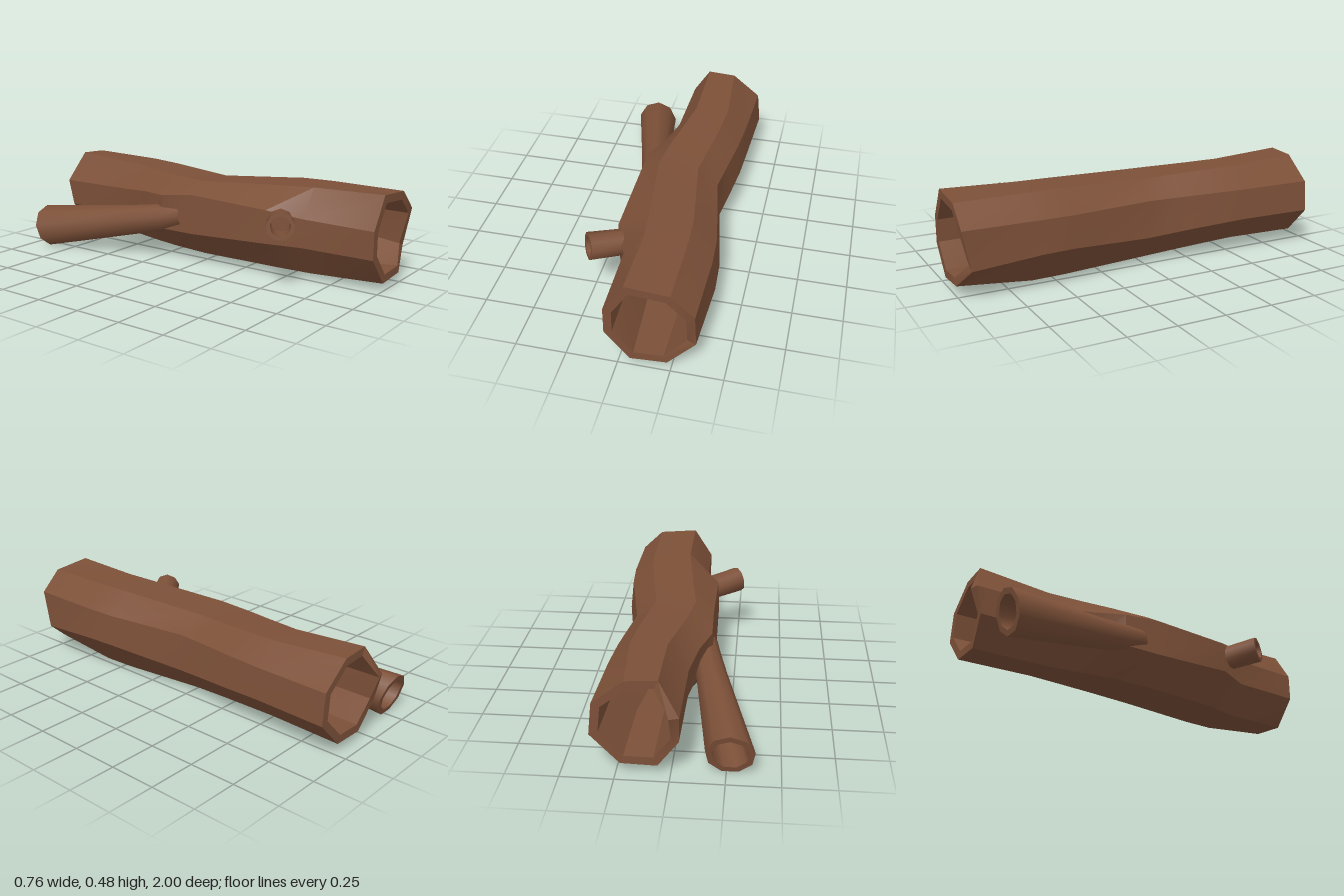
import * as THREE from 'three';
import { toCreasedNormals } from 'three/addons/utils/BufferGeometryUtils.js';

const V = (x, y, z) => new THREE.Vector3(x, y, z);

// Skin a list of closed rings that all have the same number of points
function loft(rings, crease) {
  const n = rings[0].length, index = [];
  for (let i = 0; i < rings.length - 1; i++) {
    for (let j = 0; j < n; j++) {
      const k = (j + 1) % n, a = i * n, b = a + n;
      index.push(a + j, a + k, b + j, a + k, b + k, b + j);
    }
  }
  const geo = new THREE.BufferGeometry().setFromPoints(rings.flat());
  geo.setIndex(index);
  return toCreasedNormals(geo, crease);
}

// Round ring of points around a centre, facing along normal
function circle(centre, normal, radius, sides = 9) {
  const d = normal.clone().normalize();
  const u = V(0, 1, 0).addScaledVector(d, -d.y).normalize();
  const v = d.clone().cross(u);
  return Array.from({ length: sides }, (_, i) => {
    const t = (i / sides) * Math.PI * 2;
    return centre.clone().addScaledVector(u, Math.cos(t) * radius).addScaledVector(v, Math.sin(t) * radius);
  });
}

// Hollow limb: outer skin, rim, then bore back down to a closed bottom
function limb(stations, normal, boreScale) {
  const outer = stations.map(([c, r]) => circle(c, normal, r));
  const bore = stations.map(([c, r]) => circle(c, normal, r * boreScale)).reverse();
  const floor = circle(stations[0][0], normal, 0.001);
  return loft([...outer, ...bore, floor], 0.75);
}

export function createModel() {
  const group = new THREE.Group();
  const bark = new THREE.MeshStandardMaterial({ color: 0x7c5038 });
  bark.name = 'brown bark';
  const add = (name, geo) => {
    const mesh = new THREE.Mesh(geo, bark);
    mesh.name = name;
    group.add(mesh);
  };

  // Trunk sections from front to back: z, then eight x, y corners
  // (top left, top right, then round the right side, bottom and left side)
  const sections = [
    [1, [0.04, 0.487, 0.25, 0.47, 0.36, 0.365, 0.36, 0.165, 0.235, 0.06, 0.06, 0.047, -0.06, 0.19, -0.06, 0.33]],
    [0.62, [0.04, 0.475, 0.25, 0.472, 0.365, 0.365, 0.383, 0.2, 0.235, 0.022, 0.03, 0.035, -0.07, 0.19, -0.065, 0.335]],
    [0.45, [0.02, 0.468, 0.24, 0.47, 0.355, 0.362, 0.372, 0.2, 0.225, 0.02, 0.0, 0.042, -0.14, 0.2, -0.135, 0.37]],
    [0, [-0.04, 0.445, 0.17, 0.44, 0.275, 0.35, 0.292, 0.16, 0.16, 0.012, -0.02, 0.045, -0.15, 0.18, -0.135, 0.385]],
    [-0.2, [-0.015, 0.45, 0.195, 0.45, 0.3, 0.355, 0.322, 0.18, 0.18, 0.03, -0.01, 0.05, -0.15, 0.18, -0.14, 0.36]],
    [-0.36, [0.015, 0.456, 0.215, 0.458, 0.32, 0.357, 0.342, 0.192, 0.2, 0.045, 0.02, 0.05, -0.07, 0.18, -0.085, 0.35]],
    [-0.55, [0.05, 0.465, 0.23, 0.465, 0.335, 0.358, 0.352, 0.2, 0.22, 0.06, 0.055, 0.055, -0.045, 0.19, -0.05, 0.335]],
    [-0.94, [0.05, 0.487, 0.2, 0.478, 0.35, 0.36, 0.367, 0.2, 0.23, 0.055, 0.06, 0.05, -0.04, 0.19, -0.045, 0.33]],
  ];
  const outer = sections.map(([z, p]) =>
    Array.from({ length: 8 }, (_, i) => V(p[2 * i], p[2 * i + 1], z)));
  // Uneven ends: a notch at the front and a splinter at the back
  outer[0][3].z = 0.96;
  outer[7][7].z = -0.985;
  outer[7][6].z = -0.955;
  const inner = outer.map((ring) => {
    const c = ring.reduce((s, p) => s.add(p), V(0, 0, 0)).divideScalar(8);
    return ring.map((p) => {
      const q = p.clone().lerp(c, 0.19);
      q.z = p.z;
      return q;
    });
  });
  inner[7][7].set(0, 0.33, -1);
  add('trunk', loft([...outer, ...inner.reverse(), outer[0]], 0.45));

  // Long back branch, flaring towards its open end
  add('backBranch', limb([
    [V(-0.1, 0.255, -0.08), 0.06],
    [V(-0.115, 0.235, -0.2), 0.072],
    [V(-0.148, 0.205, -0.36), 0.08],
    [V(-0.267, 0.112, -0.92), 0.115],
  ], V(0, -0.25, -1), 0.74));

  // Short side stub
  add('sideStub', limb([
    [V(-0.075, 0.31, 0.5), 0.066],
    [V(-0.245, 0.333, 0.605), 0.07],
  ], V(-0.17, 0.02, 0.105), 0.72));

  return group;
}
